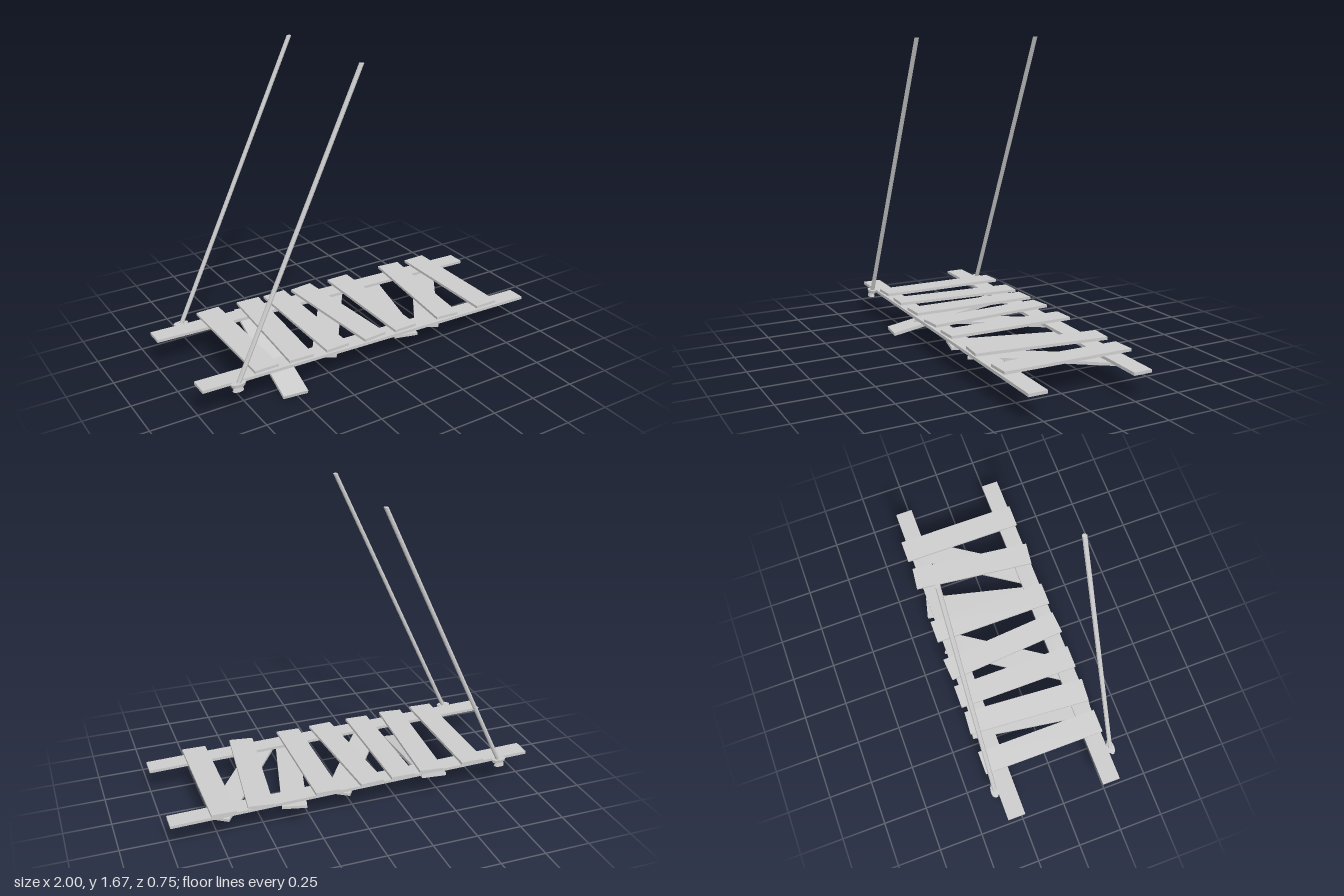
import * as THREE from 'three';

const material = new THREE.MeshStandardMaterial({ color: 0xcccccc, flatShading: true });

// Height of the gently sloping deck at a given x
const deckY = (x, offset = 0) => 0.156 - 0.019 * x + offset;

export function createModel() {
  const model = new THREE.Group();

  const add = (name, geometry, x, y, z) => {
    const mesh = new THREE.Mesh(geometry, material);
    mesh.name = name;
    mesh.position.set(x, y, z);
    model.add(mesh);
    return mesh;
  };

  // A flat board running between the centres of its two ends
  const board = (name, a, b, width, thickness = 0.015) => {
    const from = new THREE.Vector3(...a), to = new THREE.Vector3(...b);
    const mid = from.clone().add(to).multiplyScalar(0.5);
    const mesh = add(name, new THREE.BoxGeometry(width, thickness, from.distanceTo(to)), mid.x, mid.y, mid.z);
    mesh.lookAt(to);
    return mesh;
  };

  // Long side rails
  for (const [name, z] of [['frontRail', 0.278], ['backRail', -0.29]]) {
    board(name, [-1, deckY(-1), z], [1, deckY(1), z], 0.1, 0.016);
  }

  // Deck planks: x at the back end, x at the front end
  const planks = [
    [-0.655, -0.655], [-0.41, -0.46], [-0.245, -0.245], [-0.07, -0.016],
    [0.178, 0.178], [0.54, 0.457], [0.73, 0.73],
  ];
  planks.forEach(([xBack, xFront], i) => {
    const y = deckY((xBack + xFront) / 2, 0.031);
    const plank = board(`deckPlank${i + 1}`, [xBack, y, -0.37], [xFront, y, 0.335], 0.132);
    plank.rotateZ(0.019);
  });

  // Braces fixed under the rails: back end x, z and front end x, z
  const braces = [
    [0.104, -0.315, -0.303, 0.29],
    [0.358, -0.358, 0.19, 0.325],
    [0.757, -0.315, 0.35, 0.29],
  ];
  braces.forEach(([xb, zb, xf, zf], i) => {
    board(`underBrace${i + 1}`, [xb, deckY(xb, -0.023), zb], [xf, deckY(xf, -0.023), zf], 0.13);
  });

  // Loose plank hanging down to the ground at the front
  board('fallenPlank', [-0.43, 0.157, -0.36], [-0.508, 0.0105, 0.355], 0.135, 0.018);

  // Leaning ropes with level-cut ends, each tied in a knot at the rail
  const rise = 1.51, lean = 0.467;
  for (const [side, z] of [['front', 0.345], ['back', -0.354]]) {
    const rope = new THREE.CylinderGeometry(0.0125, 0.0125, rise, 8);
    rope.translate(0, rise / 2, 0);
    rope.applyMatrix4(new THREE.Matrix4().makeShear(0, 0, lean, 0, 0, 0));
    const p = rope.attributes.position;
    // Keep the rope leaning along x regardless of shear convention
    for (let i = 0; i < p.count; i++) {
      const angleX = p.getY(i) > rise / 2 ? rise * lean : 0;
      const base = p.getX(i);
      if (angleX && base < angleX / 2) p.setX(i, base + angleX);
    }
    rope.computeVertexNormals();
    add(`${side}Rope`, rope, -0.825, 0.16, z);

    const loop = new THREE.CylinderGeometry(1, 0.85, 0.018, 10);
    loop.scale(0.042, 1, 0.022);
    add(`${side}KnotLoop`, loop, -0.82, 0.171, z + Math.sign(z) * 0.002);

    const tail = new THREE.CylinderGeometry(0.8, 1, 0.022, 10);
    tail.scale(0.03, 1, 0.018);
    add(`${side}KnotTail`, tail, -0.823, 0.151, z + Math.sign(z) * 0.006);
  }

  return model;
}
